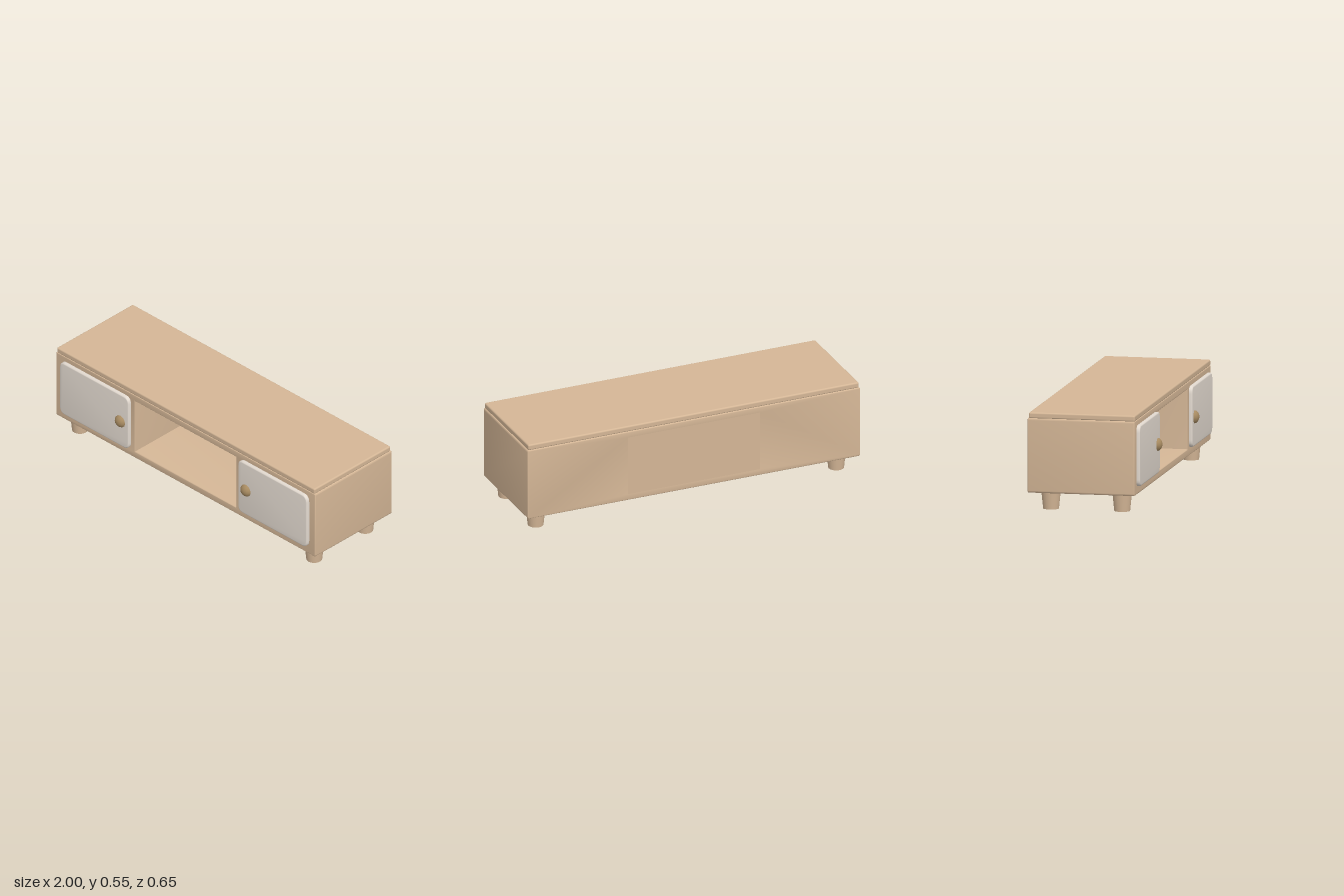
import * as THREE from 'three';
import { RoundedBoxGeometry } from 'three/addons/geometries/RoundedBoxGeometry.js';
import { toCreasedNormals } from 'three/addons/utils/BufferGeometryUtils.js';

const wood = new THREE.MeshStandardMaterial({ color: 0xd4b696 });
const doorPaint = new THREE.MeshStandardMaterial({ color: 0xe2d9cf });
const knobWood = new THREE.MeshStandardMaterial({ color: 0xa98c62 });

// Rectangle with rounded corners, added to a shape or path
function roundedRect(path, x0, y0, x1, y1, r) {
  path.moveTo(x0 + r, y0);
  path.lineTo(x1 - r, y0);
  path.quadraticCurveTo(x1, y0, x1, y0 + r);
  path.lineTo(x1, y1 - r);
  path.quadraticCurveTo(x1, y1, x1 - r, y1);
  path.lineTo(x0 + r, y1);
  path.quadraticCurveTo(x0, y1, x0, y1 - r);
  path.lineTo(x0, y0 + r);
  path.quadraticCurveTo(x0, y0, x0 + r, y0);
  return path;
}

// Extrudes a shape between z0 and z1, with its bevel kept inside the outline
function slab(shape, z0, z1, bevel) {
  const geometry = new THREE.ExtrudeGeometry(shape, {
    depth: z1 - z0 - 2 * bevel, bevelSize: bevel, bevelThickness: bevel,
    bevelOffset: -bevel, bevelSegments: 3, curveSegments: 5,
  });
  geometry.translate(0, 0, z0 + bevel);
  return toCreasedNormals(geometry, 0.7);
}

export function createModel() {
  const model = new THREE.Group();
  model.name = 'mediaCabinet';

  function add(name, geometry, material, x = 0, y = 0, z = 0) {
    const mesh = new THREE.Mesh(geometry, material);
    mesh.name = name;
    mesh.position.set(x, y, z);
    model.add(mesh);
    return mesh;
  }

  // Cabinet body with the open middle niche, closed by a back panel
  const outline = roundedRect(new THREE.Shape(), -1, 0.098, 1, 0.514, 0.012);
  const niche = new THREE.Path();
  niche.moveTo(-0.39, 0.14);
  niche.lineTo(-0.39, 0.473);
  niche.lineTo(0.39, 0.473);
  niche.lineTo(0.39, 0.14);
  niche.closePath();
  outline.holes.push(niche);
  add('cabinetBody', slab(outline, -0.322, 0.28, 0.006), wood);
  add('backPanel', new THREE.BoxGeometry(0.792, 0.345, 0.082), wood, 0, 0.3065, -0.281);

  // Table top
  add('tableTop', new RoundedBoxGeometry(1.988, 0.034, 0.597, 3, 0.009), wood, 0, 0.528, -0.0185);

  const doorShape = roundedRect(new THREE.Shape(), -0.266, -0.17, 0.266, 0.17, 0.04);
  const doorGeometry = slab(doorShape, 0.265, 0.3, 0.008);
  const knobGeometry = new THREE.SphereGeometry(0.038, 12, 8);
  knobGeometry.rotateX(Math.PI / 2);
  knobGeometry.scale(1, 1, 0.8);
  const legGeometry = new THREE.CylinderGeometry(0.055, 0.044, 0.11, 20);

  for (const side of [-1, 1]) {
    const label = side > 0 ? 'left' : 'right';

    // Door and its round knob near the niche
    add(label + 'Door', doorGeometry, doorPaint, side * 0.687, 0.313, 0);
    add(label + 'Knob', knobGeometry, knobWood, side * 0.484, 0.307, 0.295);

    // Tapered legs
    add(label + 'FrontLeg', legGeometry, wood, side * 0.903, 0.055, 0.19);
    add(label + 'BackLeg', legGeometry, wood, side * 0.903, 0.055, -0.21);
  }

  return model;
}
